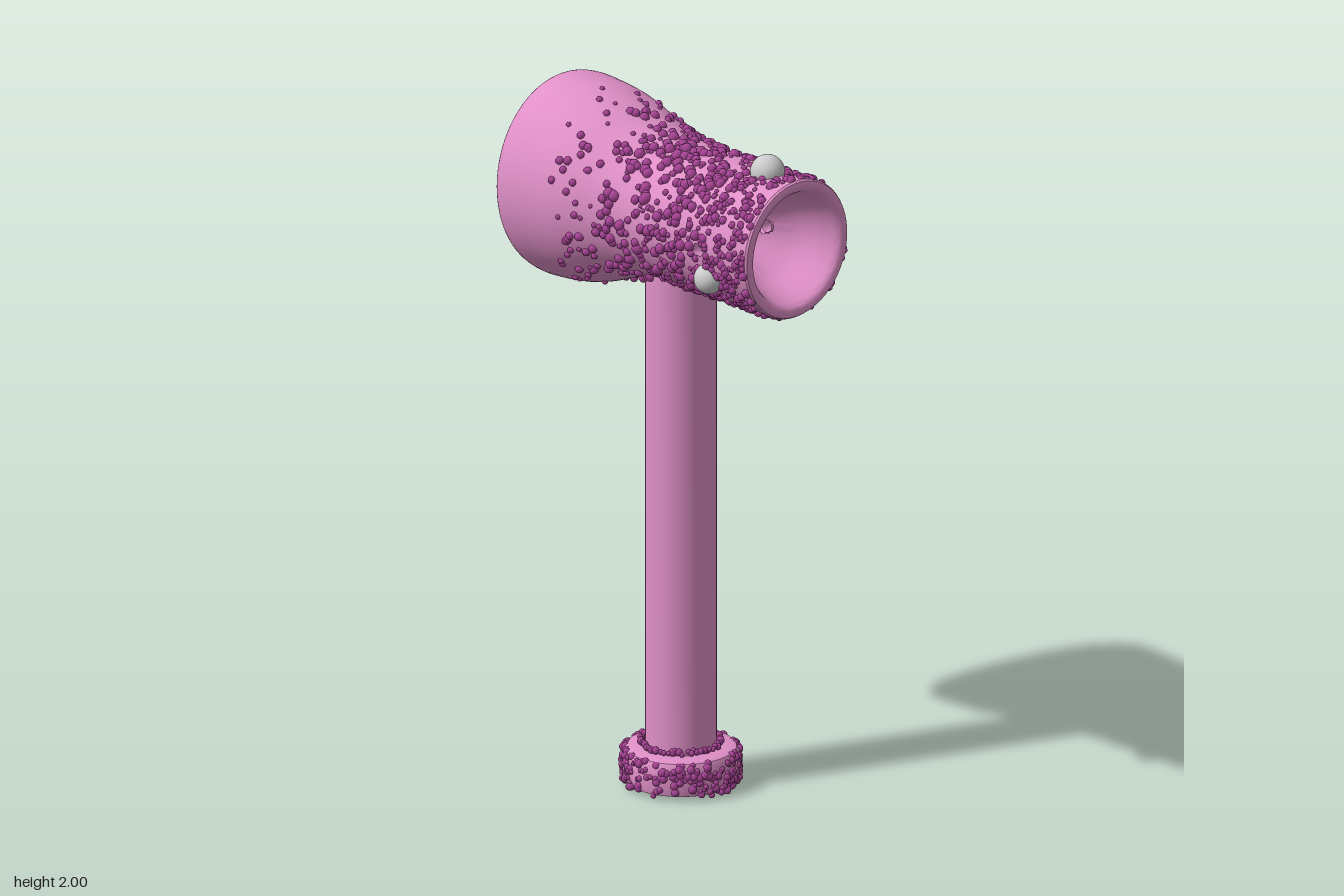
import * as THREE from 'three';
import { mergeGeometries, toCreasedNormals } from 'three/addons/utils/BufferGeometryUtils.js';

const HEAD_Y = 1.703, STEM_X = 0.024, HOLE_X = 0.285;
const V = (x, y) => new THREE.Vector2(x, y);

// Small seeded random generator
function seeded(seed) {
  return () => {
    seed = (seed * 1664525 + 1013904223) % 4294967296;
    return seed / 4294967296;
  };
}

// Head outline as (radius, position along x)
const outer = new THREE.SplineCurve([
  V(0.235, -0.485), V(0.265, -0.468), V(0.286, -0.44), V(0.295, -0.4), V(0.294, -0.35),
  V(0.284, -0.27), V(0.265, -0.2), V(0.228, -0.1), V(0.203, 0), V(0.197, 0.1),
  V(0.196, 0.2), V(0.198, 0.35), V(0.202, 0.475),
]).getSpacedPoints(90);

function radiusAt(x) {
  const i = Math.max(1, outer.findIndex((p) => p.y >= x));
  const a = outer[i - 1], b = outer[i];
  return THREE.MathUtils.lerp(a.x, b.x, (x - a.y) / (b.y - a.y));
}

// The head is round at the mouth and narrower in z at the thick end
const zScale = (x) => 1 - 0.115 * THREE.MathUtils.smoothstep(-x, -0.05, 0.4);

function headGeometry() {
  const funnel = new THREE.SplineCurve([
    V(0.198, 0.481), V(0.184, 0.484), V(0.168, 0.475), V(0.152, 0.44),
    V(0.12, 0.36), V(0.07, 0.285), V(0.04, 0.25),
  ]).getSpacedPoints(30);
  const profile = [V(0, -0.485), ...outer, ...funnel, V(0.04, 0.06), V(0, 0.06)];
  const g = new THREE.LatheGeometry(profile, 72).rotateZ(-Math.PI / 2);
  const p = g.attributes.position;
  for (let i = 0; i < p.count; i++) p.setZ(i, p.getZ(i) * zScale(p.getX(i)));

  // Open the small cross channel through both walls
  const kept = [], index = g.index.array;
  for (let i = 0; i < index.length; i += 3) {
    const t = [index[i], index[i + 1], index[i + 2]];
    const cx = t.reduce((s, k) => s + p.getX(k), 0) / 3;
    const cy = t.reduce((s, k) => s + p.getY(k), 0) / 3;
    if (Math.hypot(cx - HOLE_X, cy) > 0.02) kept.push(...t);
  }
  g.setIndex(kept);
  return toCreasedNormals(g, 0.6);
}

// Merge many little balls given as [x, y, z, radius]
function beads(list) {
  const ball = new THREE.SphereGeometry(1, 7, 5);
  return mergeGeometries(list.map(([x, y, z, r]) => ball.clone().scale(r, r, r).translate(x, y, z)));
}

export function createModel() {
  const model = new THREE.Group();
  const pink = new THREE.MeshStandardMaterial({ color: 0xe090c8, side: THREE.DoubleSide });
  const magenta = new THREE.MeshStandardMaterial({ color: 0xa84496 });
  const grey = new THREE.MeshStandardMaterial({ color: 0xcccccc });
  const random = seeded(7);

  const add = (name, geometry, material, x = 0, y = 0, z = 0) => {
    const mesh = new THREE.Mesh(geometry, material);
    mesh.name = name;
    mesh.position.set(x, y, z);
    model.add(mesh);
    return mesh;
  };

  add('head', headGeometry(), pink, 0, HEAD_Y, 0);

  // Stem and foot in one profile, hollow from below
  const stem = [
    V(0, 0.45), V(0.05, 0.45), V(0.055, 0.09), V(0.1, 0.07), V(0.13, 0.035), V(0.15, 0.012),
    V(0.16, 0.016), V(0.164, 0.035), V(0.164, 0.095), V(0.155, 0.11), V(0.14, 0.115),
    V(0.1, 0.115), V(0.1, 1.53),
  ];
  add('stemAndFoot', toCreasedNormals(new THREE.LatheGeometry(stem, 48), 0.7), pink, STEM_X);

  // Raised ring on the back, lining the channel
  const ring = [
    V(0.055, 0.17), V(0.055, 0.2), V(0.047, 0.227), V(0.036, 0.243), V(0.027, 0.246),
    V(0.021, 0.238), V(0.02, 0.075),
  ];
  add('channelRing', new THREE.LatheGeometry(ring, 24).rotateX(-Math.PI / 2), pink, HOLE_X, HEAD_Y, 0);
  const lining = new THREE.CylinderGeometry(0.021, 0.021, 0.12, 20, 1, true).rotateX(Math.PI / 2);
  add('channelLining', lining, pink, HOLE_X, HEAD_Y, 0.135);

  // Beads thickening towards the mouth of the head
  const headBeads = [];
  while (headBeads.length < 1500) {
    const u = Math.pow(random(), 0.6);
    const x = -0.28 + 0.75 * u;
    const angle = random() * Math.PI * 2;
    const size = 0.006 + random() * (0.005 + 0.007 * Math.sin(Math.PI * Math.min(u, 0.85)));
    const r = radiusAt(x);
    const y = r * Math.cos(angle), z = r * Math.sin(angle) * zScale(x);
    const clear = z > 0 ? 0.026 : 0.055;
    if (Math.abs(z) > 0.1 && Math.hypot(x - HOLE_X, y) < clear) continue;
    headBeads.push([x, y, z, size]);
  }
  add('headBeads', beads(headBeads), magenta, 0, HEAD_Y, 0);

  // Beads around the side of the foot and the base of the stem
  const footBeads = [];
  for (let i = 0; i < 330; i++) {
    const a = random() * Math.PI * 2, y = 0.013 + random() * 0.095;
    const r = 0.163 - (y > 0.1 ? 0.008 : 0);
    footBeads.push([r * Math.cos(a), y, r * Math.sin(a), 0.007 + random() * 0.006]);
  }
  for (let i = 0; i < 64; i++) {
    const a = (i + random()) / 64 * Math.PI * 2, r = 0.103 + random() * 0.012;
    footBeads.push([r * Math.cos(a), 0.12 + random() * 0.012, r * Math.sin(a), 0.007 + random() * 0.005]);
  }
  add('footBeads', beads(footBeads), magenta, STEM_X);

  // Large grey studs on the head
  const studs = [
    [0.365, 1.905, 0, 0.049], [0.313, 1.62, 0.178, 0.044],
    [0.245, 1.79, -0.182, 0.043], [0.39, 1.578, -0.162, 0.043],
  ];
  for (const [x, y, z, r] of studs) add('stud', new THREE.SphereGeometry(r, 24, 16), grey, x, y, z);

  return model;
}
